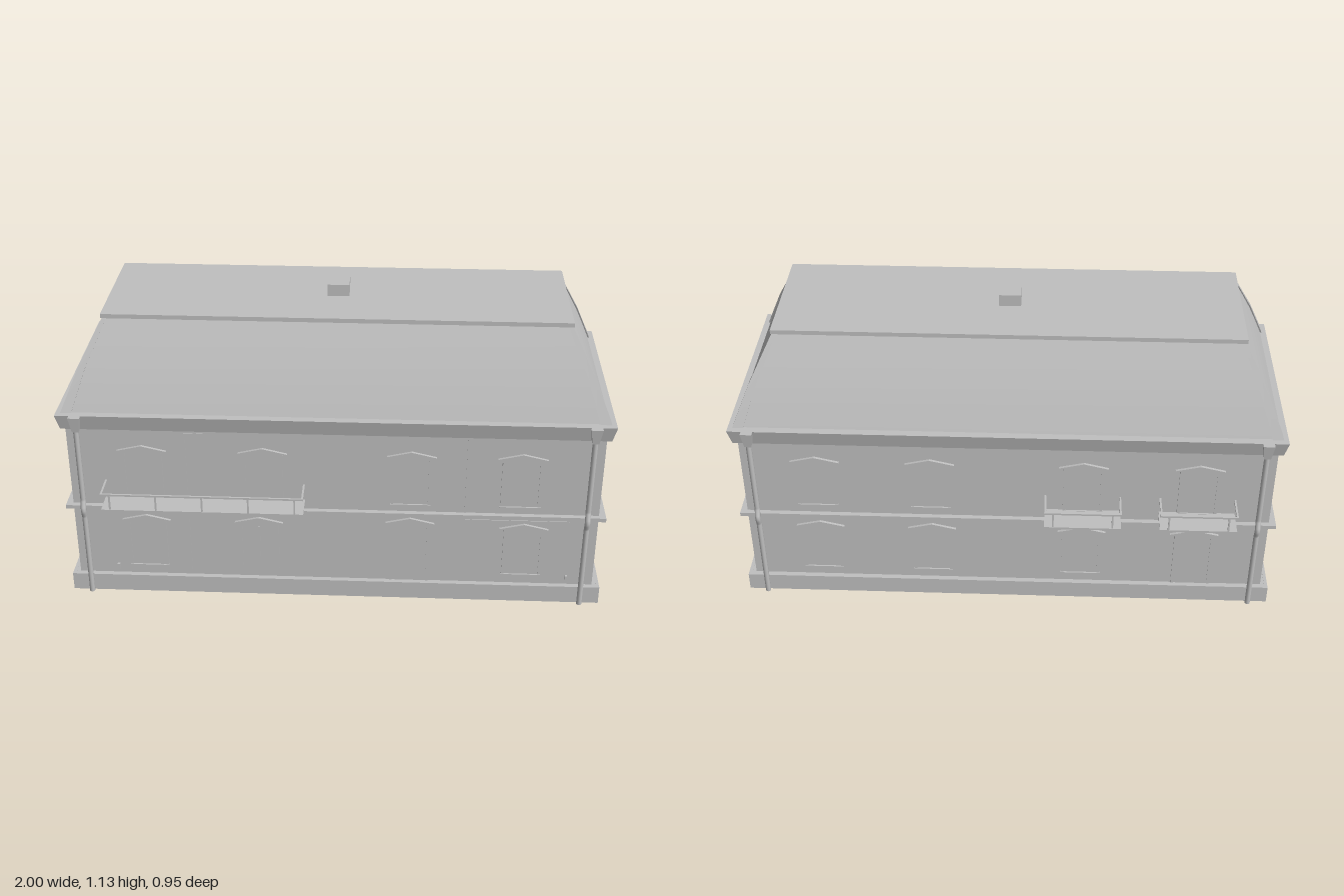
import * as THREE from 'three';

const stone = new THREE.MeshStandardMaterial({ color: 0xc0c0c0 });
stone.name = 'stone grey';

function add(parent, name, geometry, x = 0, y = 0, z = 0) {
  const mesh = new THREE.Mesh(geometry, stone);
  mesh.name = name;
  mesh.position.set(x, y, z);
  parent.add(mesh);
  return mesh;
}

// Box given by its lower and upper corners
function box(parent, name, x0, x1, y0, y1, z0, z1) {
  return add(parent, name, new THREE.BoxGeometry(x1 - x0, y1 - y0, z1 - z0),
    (x0 + x1) / 2, (y0 + y1) / 2, (z0 + z1) / 2);
}

// Stack of rectangles [halfX, halfZ, y, centreX, centreZ]; smooth up each side, sharp at corners
function loft(sections) {
  const corners = [[-1, 1], [1, 1], [1, -1], [-1, -1]];
  const pos = [], index = [];
  const push = ([hx, hz, y, cx = 0, cz = 0], [sx, sz]) => pos.push(cx + sx * hx, y, cz + sz * hz);
  for (let s = 0; s < 4; s++) {
    const start = pos.length / 3;
    sections.forEach((sec) => { push(sec, corners[s]); push(sec, corners[(s + 1) % 4]); });
    for (let i = 0; i < sections.length - 1; i++) {
      const a = start + i * 2;
      index.push(a, a + 1, a + 3, a, a + 3, a + 2);
    }
  }
  [sections[0], sections[sections.length - 1]].forEach((sec, top) => {
    const a = pos.length / 3;
    corners.forEach((c) => push(sec, c));
    index.push(...(top ? [a, a + 1, a + 2, a, a + 2, a + 3] : [a, a + 2, a + 1, a, a + 3, a + 2]));
  });
  const g = new THREE.BufferGeometry();
  g.setAttribute('position', new THREE.Float32BufferAttribute(pos, 3));
  g.setIndex(index);
  g.computeVertexNormals();
  return g;
}

function extrude(points, depth) {
  const shape = new THREE.Shape(points.map(([x, y]) => new THREE.Vector2(x, y)));
  return new THREE.ExtrudeGeometry(shape, { depth, bevelEnabled: false });
}

// Framed opening with a gabled hood, built on the wall plane z = 0
function opening(parent, name, x, y0, y1, { door = false, double = false } = {}) {
  const g = new THREE.Group();
  g.name = name;
  g.position.x = x;
  const w = 0.068;
  box(g, name + 'Panel', -w, w, y0, y1, -0.005, 0.003);
  for (const s of [-1, 1]) box(g, name + 'Jamb', s * w - 0.005, s * w + 0.005, y0, y1, -0.005, 0.006);
  if (!door) box(g, name + 'Sill', -0.074, 0.074, y0 - 0.006, y0 + 0.004, -0.005, 0.009);
  if (double) box(g, name + 'CentreBar', -0.003, 0.003, y0 + 0.015, y1 - 0.01, 0, 0.007);
  add(g, name + 'Hood', extrude([[-0.072, y1 - 0.012], [-0.06, y1 - 0.002], [0.06, y1 - 0.002],
    [0.072, y1 - 0.012], [0.072, y1 + 0.003], [0.09, y1 + 0.007], [0, y1 + 0.028],
    [-0.09, y1 + 0.007], [-0.072, y1 + 0.003]], 0.015), 0, 0, -0.005);
  parent.add(g);
}

// Balcony slab, underside bracket and open railing on the wall plane z = 0
function balcony(parent, x0, x1, bays) {
  const g = new THREE.Group();
  g.name = 'balcony';
  const d = 0.104, t = 0.007;
  box(g, 'balconySlab', x0, x1, 0.407, 0.415, -0.005, d);
  box(g, 'balconyBracket', x0 + 0.03, x1 - 0.03, 0.395, 0.408, -0.005, 0.075);
  box(g, 'frontRail', x0, x1, 0.473, 0.48, d - t, d);
  for (const x of [x0, x1 - t]) box(g, 'sideRail', x, x + t, 0.473, 0.48, -0.005, d - t);
  for (let i = 0; i <= bays; i++) {
    const x = x0 + 0.032 + (x1 - x0 - 0.064) * i / bays;
    box(g, 'railPost', x - 0.003, x + 0.003, 0.414, 0.474, d - 0.007, d - 0.001);
  }
  parent.add(g);
}

// Group whose local z = 0 lies on a wall
function wallGroup(parent, name, angle, distance) {
  const g = new THREE.Group();
  g.name = name;
  g.rotation.y = angle;
  g.position.set(Math.sin(angle) * distance, 0, Math.cos(angle) * distance);
  parent.add(g);
  return g;
}

export function createModel() {
  const model = new THREE.Group();
  model.name = 'mansardHouse';
  const house = new THREE.Group();
  house.name = 'house';
  house.position.z = -0.007;
  model.add(house);
  const W = 0.97, D = 0.371;

  // Walls, plinth and string course
  box(house, 'walls', -W, W, 0.05, 0.72, -D, D);
  box(house, 'floor', -0.987, 0.987, 0.05, 0.069, -0.382, 0.382);
  for (const s of [-1, 1]) {
    box(house, 'plinthLong', -0.997, 0.997, 0, 0.07, s * 0.386 - 0.006, s * 0.386 + 0.006);
    box(house, 'plinthShort', s * 0.991 - 0.006, s * 0.991 + 0.006, 0, 0.07, -0.381, 0.381);
  }
  box(house, 'stringCourse', -0.995, 0.995, 0.361, 0.376, -0.39, 0.39);

  // Cornice, curved mansard roof, roof deck and chimney
  add(house, 'cornice', loft([[0.985, 0.388, 0.7], [0.998, 0.402, 0.76]]));
  add(house, 'mansardRoof', loft([[0.975, 0.373, 0.76], [0.945, 0.342, 0.833], [0.912, 0.308, 0.907],
    [0.872, 0.267, 0.988], [0.828, 0.223, 1.07]]));
  box(house, 'roofDeck', -0.838, 0.838, 1.07, 1.086, -0.238, 0.238);
  box(house, 'chimney', -0.04, 0.04, 1.08, 1.13, -0.04, 0.04);

  // Roof corner ribs, downpipes and rain hoppers
  for (const sx of [-1, 1]) for (const sz of [-1, 1]) {
    const rib = [[0.981, 0.379, 0.76, 0.02], [0.918, 0.314, 0.907, 0.013], [0.834, 0.229, 1.07, 0.008]];
    add(house, 'roofRib', loft(rib.map(([x, z, y, r]) => [r, r, y, sx * (x - r), sz * (z - r)])));
    const path = new THREE.CurvePath();
    const pts = [[0, 0.4], [0.335, 0.4], [0.36, 0.409], [0.378, 0.409], [0.403, 0.4], [0.71, 0.4]]
      .map(([y, z]) => new THREE.Vector3(sx * 0.925, y, sz * z));
    for (let i = 1; i < pts.length; i++) path.add(new THREE.LineCurve3(pts[i - 1], pts[i]));
    add(house, 'downpipe', new THREE.TubeGeometry(path, 60, 0.01, 10, false));
    add(house, 'rainHopper', loft([[0.012, 0.012, 0.7, sx * 0.925, sz * 0.4],
      [0.021, 0.021, 0.76, sx * 0.925, sz * 0.4]]));
  }

  // Front openings and long balcony
  const front = wallGroup(house, 'frontWall', 0, D);
  for (const x of [-0.7, -0.26, 0.28, 0.68]) opening(front, 'upperWindow', x, 0.405, 0.602);
  for (const x of [-0.7, 0.7]) opening(front, 'lowerWindow', x, 0.108, 0.306);
  opening(front, 'doubleDoor', -0.28, 0.105, 0.306, { door: true, double: true });
  opening(front, 'frontDoor', 0.28, 0.07, 0.32, { door: true });
  balcony(front, -0.843, -0.107, 4);

  // Thin conduits and small taps on the front
  box(front, 'conduit', -0.543, -0.539, 0.085, 0.682, -0.002, 0.003);
  box(front, 'conduit', -0.543, -0.473, 0.68, 0.684, -0.002, 0.003);
  box(front, 'conduit', 0.479, 0.483, 0.345, 0.7, -0.002, 0.003);
  box(front, 'conduit', 0.479, 0.865, 0.343, 0.347, -0.002, 0.003);
  for (const x of [-0.82, 0.87]) box(front, 'tap', x - 0.005, x + 0.005, 0.085, 0.11, -0.002, 0.01);

  // Back openings and two small balconies (local x runs opposite to the front)
  const back = wallGroup(house, 'backWall', Math.PI, D);
  for (const x of [-0.7, -0.28, 0.28, 0.7]) {
    opening(back, 'upperWindow', x, 0.412, 0.606);
    if (x < 0.5) opening(back, 'lowerWindow', x, 0.108, 0.306);
  }
  opening(back, 'backDoor', 0.7, 0.07, 0.306, { door: true });
  balcony(back, 0.14, 0.42, 1);
  balcony(back, 0.56, 0.84, 1);

  // End wall windows
  const left = wallGroup(house, 'leftWall', Math.PI / 2, W);
  for (const x of [-0.14, 0.14]) opening(left, 'endWindow', x, 0.42, 0.622);
  const right = wallGroup(house, 'rightWall', -Math.PI / 2, W);
  opening(right, 'endWindow', 0.14, 0.42, 0.622);
  opening(right, 'endWindow', -0.14, 0.108, 0.306);

  return model;
}
